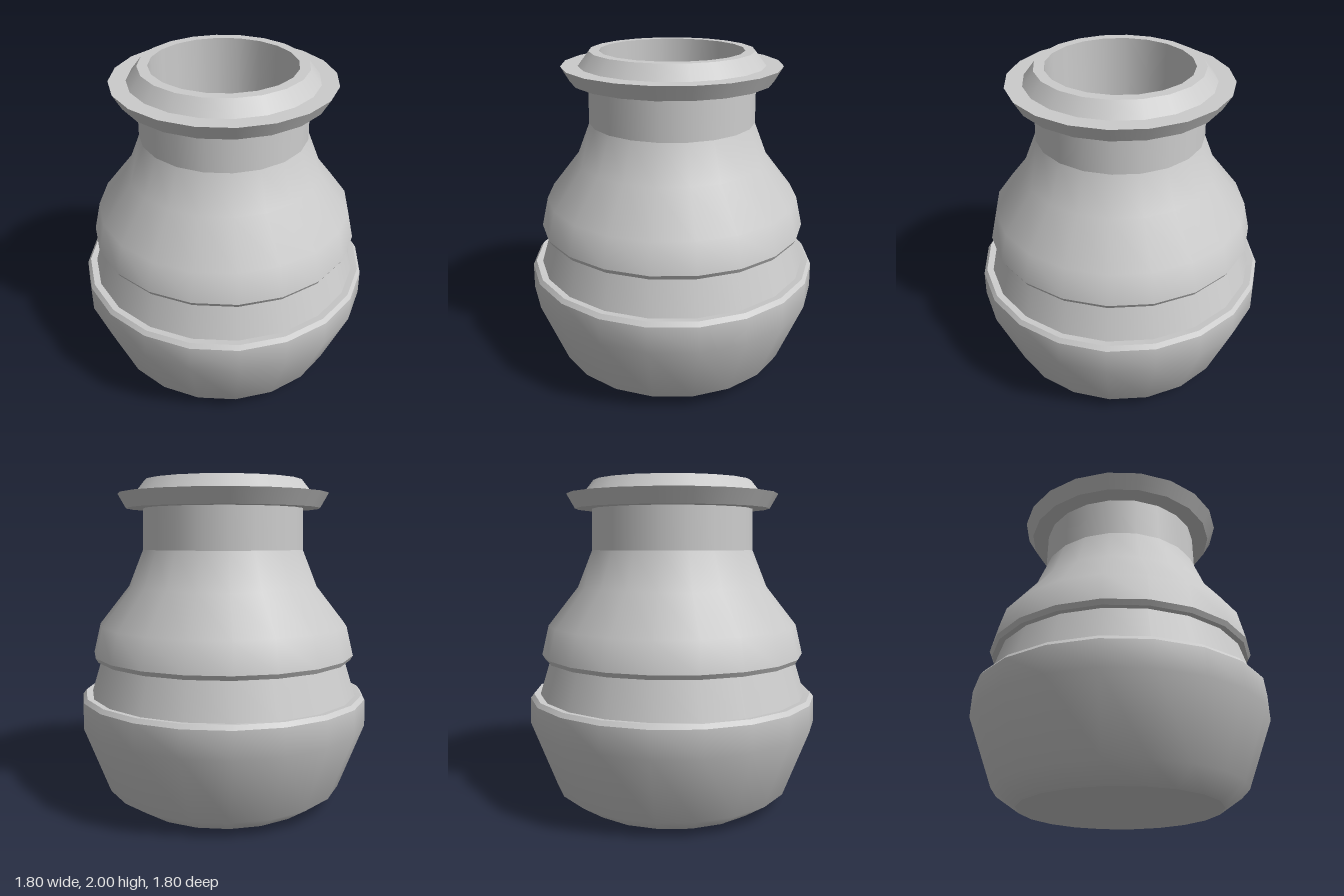
import * as THREE from 'three';

const SIDES = 20;

export function createModel() {
  const group = new THREE.Group();
  group.name = 'vase';
  const material = new THREE.MeshStandardMaterial({ color: 0xcccccc });

  // Each band is smooth within itself and meets the next at a sharp edge.
  const band = (parent, ...profile) => {
    const points = profile.map(([r, y]) => new THREE.Vector2(r, y));
    const mesh = new THREE.Mesh(new THREE.LatheGeometry(points, SIDES), material);
    mesh.name = parent.name + 'Band' + (parent.children.length + 1);
    parent.add(mesh);
  };
  const part = (name, ...bands) => {
    const g = new THREE.Group();
    g.name = name;
    bands.forEach((profile) => band(g, ...profile));
    group.add(g);
  };

  // Flat underside
  part('base', [[0, 0], [0.6, 0]]);

  // Wide lower bowl with a bevelled upper edge
  part('bowl',
    [[0.6, 0], [0.745, 0.1], [0.9, 0.51], [0.895, 0.67]],
    [[0.895, 0.67], [0.875, 0.695]],
    [[0.875, 0.695], [0.835, 0.69]]);

  // Recessed waist between bowl and shoulder
  part('waist', [[0.835, 0.69], [0.767, 0.912]]);

  // Overhanging shoulder
  part('shoulder',
    [[0.767, 0.912], [0.802, 0.912]],
    [[0.802, 0.912], [0.818, 0.94]],
    [[0.818, 0.94], [0.775, 1.12], [0.59, 1.355], [0.5, 1.58]]);

  // Straight neck
  part('neck', [[0.5, 1.58], [0.495, 1.83]]);

  // Flared collar and tapered lip
  part('collar',
    [[0.495, 1.83], [0.6, 1.83]],
    [[0.6, 1.83], [0.65, 1.918]],
    [[0.65, 1.918], [0.55, 1.918]]);
  part('lip',
    [[0.55, 1.918], [0.485, 2]],
    [[0.485, 2], [0.425, 2]]);

  // Hollow inside
  part('interior',
    [[0.425, 2], [0.425, 0.5]],
    [[0.425, 0.5], [0, 0.5]]);

  return group;
}
